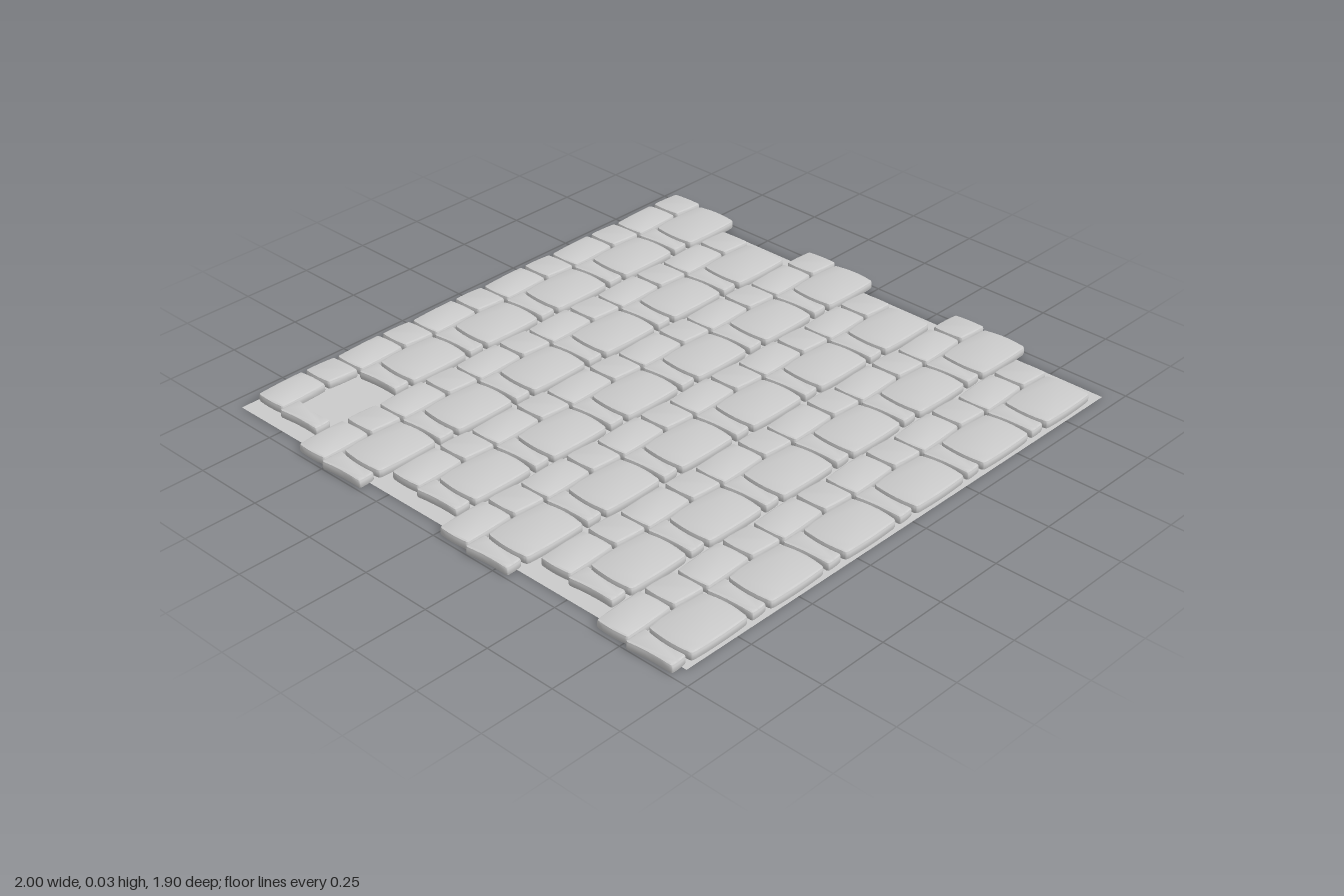
import * as THREE from 'three';
import { toCreasedNormals } from 'three/addons/utils/BufferGeometryUtils.js';

const HEIGHT = 0.03, BEVEL = 0.007;
const PITCH_X = 0.317, PITCH_Z = 0.3175, SHIFT = 0.095;

// Paving stone from four corners [x, z], each side bowed by its bulge, corners rounded off.
// Corner order: back left, front left, front right, back right.
function stoneGeometry(corners, bulges, round) {
  const pts = corners.map(([x, z]) => new THREE.Vector2(x, -z));
  const shape = new THREE.Shape();
  pts.forEach((p, i) => {
    const q = pts[(i + 1) % 4];
    const dir = q.clone().sub(p).normalize();
    const start = p.clone().addScaledVector(dir, round);
    const end = q.clone().addScaledVector(dir, -round);
    const mid = p.clone().add(q).multiplyScalar(0.5)
      .add(new THREE.Vector2(dir.y, -dir.x).multiplyScalar(2 * bulges[i]));
    if (i === 0) shape.moveTo(start.x, start.y);
    else shape.quadraticCurveTo(p.x, p.y, start.x, start.y);
    shape.quadraticCurveTo(mid.x, mid.y, end.x, end.y);
  });
  const first = pts[0], dir = pts[1].clone().sub(first).normalize();
  const start = first.clone().addScaledVector(dir, round);
  shape.quadraticCurveTo(first.x, first.y, start.x, start.y);

  const geo = new THREE.ExtrudeGeometry(shape, {
    depth: HEIGHT - 2 * BEVEL, curveSegments: 5,
    bevelThickness: BEVEL, bevelSize: BEVEL, bevelOffset: -BEVEL, bevelSegments: 2,
  });
  geo.rotateX(-Math.PI / 2).translate(0, BEVEL, 0);
  return toCreasedNormals(geo, 0.6);
}

export function createModel() {
  const model = new THREE.Group();
  model.name = 'pavement';
  const material = new THREE.MeshStandardMaterial({ color: 0xcccccc });

  // Thin ground sheet under the stones
  const ground = new THREE.Mesh(
    new THREE.PlaneGeometry(1.894, 1.9).rotateX(-Math.PI / 2),
    new THREE.MeshStandardMaterial({ color: 0xcccccc, side: THREE.DoubleSide }));
  ground.name = 'groundSheet';
  ground.position.x = -0.003;
  model.add(ground);

  // The four stones of one repeat; x and z are offsets inside it
  const kinds = [
    { name: 'mediumStone', x: -0.99, z: 0, geo: stoneGeometry(
      [[0.003, 0.01], [0.005, 0.128], [0.186, 0.118], [0.181, 0.002]], [0.003, 0.001, 0.003, 0.002], 0.01) },
    { name: 'smallStone', x: -0.797, z: 0, geo: stoneGeometry(
      [[0.003, 0.003], [0.006, 0.117], [0.12, 0.123], [0.116, 0.007]], [0.003, 0.001, 0.002, 0.002], 0.01) },
    { name: 'narrowStone', x: -1, z: 0.13, geo: stoneGeometry(
      [[0, 0.002], [0.008, 0.17], [0.069, 0.166], [0.078, 0.002]], [-0.004, 0.001, -0.006, 0.001], 0.01) },
    { name: 'largeStone', x: -0.925, z: 0.126, geo: stoneGeometry(
      [[0.009, 0.008], [0.006, 0.176], [0.236, 0.174], [0.234, 0.008]], [0.005, 0.003, 0.007, 0.007], 0.018) },
  ];

  // Six double courses, every other one pushed sideways
  for (let row = 0; row < 6; row++) {
    const course = new THREE.Group();
    course.name = `course${row + 1}`;
    course.position.set(row % 2 ? 0 : SHIFT, 0, -0.95 + row * PITCH_Z);
    for (let col = 0; col < 6; col++) {
      for (const { name, x, z, geo } of kinds) {
        // One stone is missing from the back course
        if (row === 0 && col === 0 && name === 'largeStone') continue;
        const stone = new THREE.Mesh(geo, material);
        stone.name = name;
        stone.position.set(x + col * PITCH_X, 0, z);
        course.add(stone);
      }
    }
    model.add(course);
  }
  return model;
}
